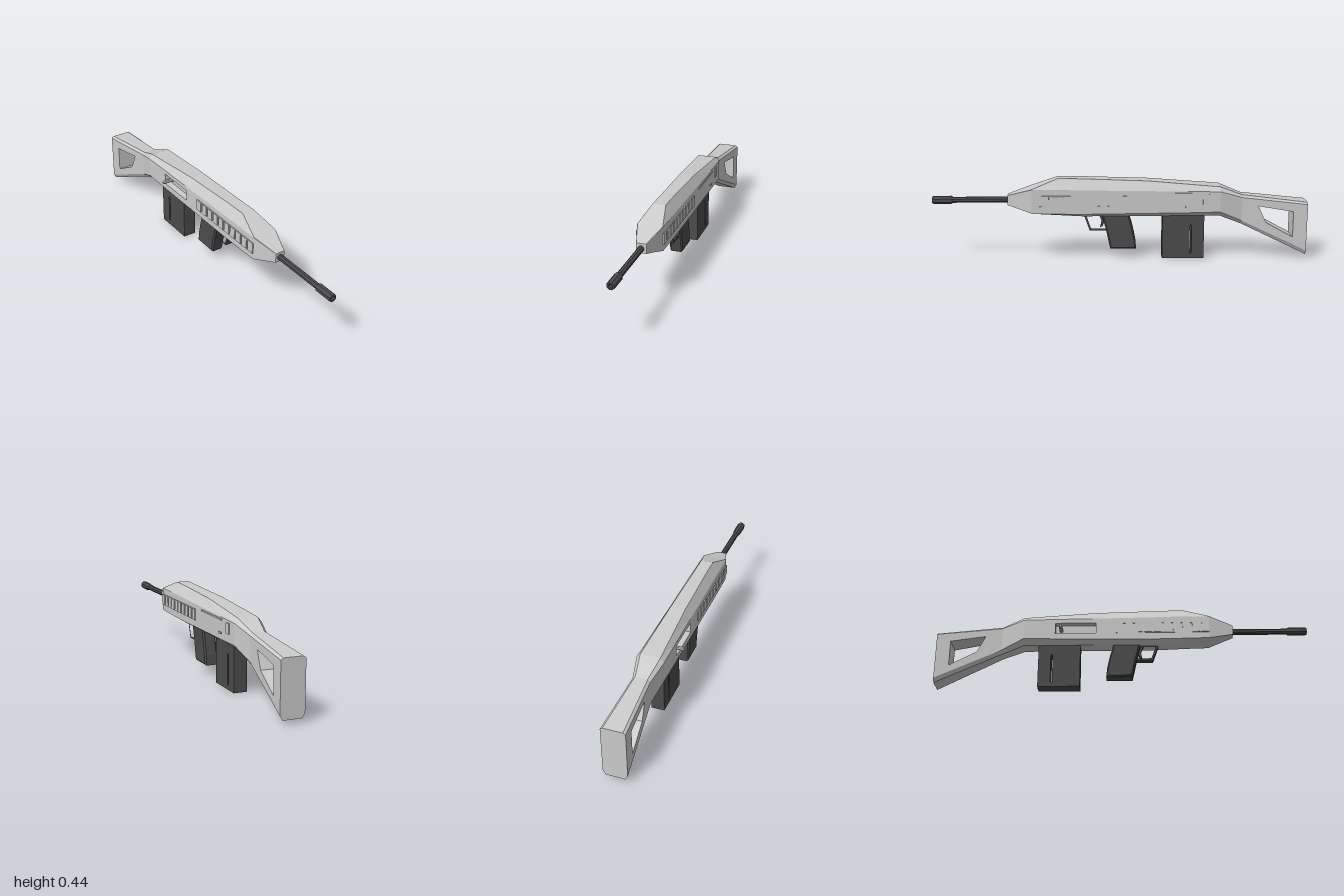
import * as THREE from 'three';

const grey = new THREE.MeshStandardMaterial({ color: 0xcccccc, flatShading: true });
const dark = new THREE.MeshStandardMaterial({ color: 0x4c4c4c, flatShading: true });
const lining = new THREE.MeshStandardMaterial({ color: 0xcccccc, flatShading: true, side: THREE.DoubleSide });

// Skin between rings of equal point count; skip(i, j) leaves a panel open
function loft(rings, { caps = true, closed = false, skip = () => false } = {}) {
  const n = rings[0].length, pos = [];
  const tri = (...pts) => pts.forEach(p => pos.push(...p));
  const spans = closed ? rings.length : rings.length - 1;
  for (let i = 0; i < spans; i++) {
    const r = rings[i], s = rings[(i + 1) % rings.length];
    for (let j = 0; j < n; j++) {
      if (skip(i, j)) continue;
      const k = (j + 1) % n;
      tri(r[j], s[j], r[k]);
      tri(r[k], s[j], s[k]);
    }
  }
  if (caps && !closed) {
    const a = rings[0], b = rings[rings.length - 1];
    for (let j = 1; j < n - 1; j++) {
      tri(a[0], a[j], a[j + 1]);
      tri(b[0], b[j + 1], b[j]);
    }
  }
  const g = new THREE.BufferGeometry();
  g.setAttribute('position', new THREE.Float32BufferAttribute(pos, 3));
  g.computeVertexNormals();
  return g;
}

// Side outline given as [z, y] points, extruded across the width
function plate(outline, width, bevel = 0, hole = null) {
  const toV = pts => pts.map(p => new THREE.Vector2(...p));
  const shape = new THREE.Shape(toV(outline));
  if (hole) shape.holes.push(new THREE.Path(toV(hole)));
  const depth = width - 2 * bevel;
  return new THREE.ExtrudeGeometry(shape, {
    depth, bevelEnabled: bevel > 0, bevelSize: bevel, bevelThickness: bevel,
    bevelOffset: -bevel, bevelSegments: 1,
  }).translate(0, 0, -depth / 2).rotateY(-Math.PI / 2);
}

// Ten-sided body section, symmetric in x
function section([z, topY, topW, shoulderY, w, lowY, botW, botY, midLow = 0.295, midHigh = 0.355]) {
  const half = [[botW, botY], [w, lowY], [w, midLow], [w, midHigh], [w, shoulderY], [topW, topY]];
  const mirror = half.map(([x, y]) => [-x, y]).reverse();
  return [...half, ...mirror].map(([x, y]) => [x, y, z]);
}

const sideHalf = z => 0.067 + 0.005 * (0.47 - z);

export function createModel() {
  const model = new THREE.Group();
  model.name = 'rifle';
  model.position.x = 0.015;
  const add = (name, geometry, material = grey, x = 0, y = 0, z = 0) => {
    const m = new THREE.Mesh(geometry, material);
    m.name = name;
    m.position.set(x, y, z);
    model.add(m);
    return m;
  };

  // Faceted body, with an opening in its right side for the charging handle
  const sections = [
    [0.6, 0.352, 0.025, 0.35, 0.026, 0.302, 0.025, 0.3, 0.315, 0.337],
    [0.47, 0.392, 0.065, 0.39, 0.067, 0.262, 0.055, 0.26],
    [0.33, 0.445, 0.034, 0.39, 0.068, 0.259, 0.045, 0.248],
    [0.2, 0.442, 0.034, 0.387, 0.0684, 0.257, 0.036, 0.238],
    [-0.14, 0.43, 0.04, 0.381, 0.07, 0.26, 0.037, 0.238],
    [-0.36, 0.412, 0.047, 0.378, 0.0712, 0.262, 0.039, 0.238],
    [-0.53, 0.398, 0.052, 0.375, 0.072, 0.265, 0.04, 0.238],
    [-0.65, 0.35, 0.032, 0.337, 0.046, 0.21, 0.032, 0.19, 0.24, 0.31],
  ].map(section);
  add('body', loft(sections, { skip: (i, j) => i === 4 && j === 8 }));

  // Recess lining and charging handle
  const pocketRing = (xFront, xBack) => [
    [xFront, 0.295, -0.14], [xFront, 0.355, -0.14], [xBack, 0.355, -0.36], [xBack, 0.295, -0.36]];
  const pocket = loft([pocketRing(-0.035, -0.035), pocketRing(-0.07, -0.0712)], { caps: false });
  add('handleRecess', pocket, lining);
  add('handleRecessFloor', new THREE.PlaneGeometry(0.22, 0.06).rotateY(-Math.PI / 2), lining, -0.035, 0.325, -0.25);
  const knob = [[0, 0], [0.01, 0], [0.01, 0.06], [0.006, 0.071], [0, 0.071]].map(p => new THREE.Vector2(...p));
  add('chargingHandle', new THREE.LatheGeometry(knob, 8).rotateZ(Math.PI / 2), grey, -0.034, 0.325, -0.33);

  // Skeleton stock: a closed loop of rings running through the window
  const windowPts = [[-0.738, 0.29], [-0.78, 0.2], [-0.925, 0.12], [-0.925, 0.26]];
  const outer = [[-0.65, 0.35], [-0.65, 0.19], [-1, 0.022], [-1, 0.31]];
  const inner = [[-0.65, 0.337], [-0.65, 0.21], [-1, 0.045], [-1, 0.3]];
  const stockRing = (pts, side, inset) =>
    pts.map(([z, y]) => [side * (0.046 + (-0.65 - z) * 0.05 - inset), y, z]);
  add('stock', loft([
    stockRing(windowPts, 1, 0), stockRing(inner, 1, 0), stockRing(outer, 1, 0.013),
    stockRing(outer, -1, 0.013), stockRing(inner, -1, 0), stockRing(windowPts, -1, 0),
  ], { closed: true }));

  // Raised slats along both sides of the fore-end
  for (const side of [1, -1]) {
    for (let i = 0; i < 10; i++) {
      const z = 0.45 - i * 0.0515;
      add('slat', new THREE.BoxGeometry(0.012, 0.058, 0.04), grey, side * sideHalf(z), 0.326, z);
    }
    for (const y of [0.298, 0.354])
      add('slatRail', new THREE.BoxGeometry(0.008, 0.006, 0.5), grey, side * 0.068, y, 0.218);
  }

  // Small raised details on the left side
  for (const [name, y, z, h, l] of [
    ['sideBar', 0.365, -0.25, 0.008, 0.26],
    ['sidePort', 0.335, -0.455, 0.055, 0.035],
    ['sideButton', 0.295, -0.36, 0.01, 0.03],
  ]) add(name, new THREE.BoxGeometry(0.01, h, l), grey, sideHalf(z), y, z);

  // Barrel with a thicker, bored muzzle
  const barrel = [[0.016, 0.58], [0.016, 0.89], [0.022, 0.9], [0.022, 0.99], [0.019, 1], [0.012, 1], [0.012, 0.93], [0, 0.93]]
    .map(p => new THREE.Vector2(...p));
  add('barrel', new THREE.LatheGeometry(barrel, 8, Math.PI / 8).rotateX(Math.PI / 2), dark, 0, 0.325, 0);

  // Grip, trigger and guard
  add('grip', plate([[0.1, 0.25], [0.075, 0.15], [0.055, 0.055], [-0.085, 0.055],
    [-0.08, 0.11], [-0.065, 0.18], [-0.045, 0.25]], 0.072, 0.008), dark);
  add('triggerGuard', plate([[0.195, 0.242], [0.165, 0.155], [0.06, 0.155], [0.06, 0.242]], 0.04, 0,
    [[0.181, 0.234], [0.157, 0.165], [0.07, 0.165], [0.07, 0.234]]), dark);
  add('trigger', plate([[0.115, 0.242], [0.1, 0.205], [0.108, 0.17], [0.095, 0.175], [0.08, 0.21], [0.08, 0.242]], 0.016), dark);

  // Magazine with a narrow slot through it
  add('magazine', plate([[-0.225, 0], [-0.225, 0.25], [-0.45, 0.25], [-0.45, 0]], 0.072, 0,
    [[-0.373, 0.025], [-0.373, 0.185], [-0.383, 0.185], [-0.383, 0.025]]), dark);

  return model;
}
